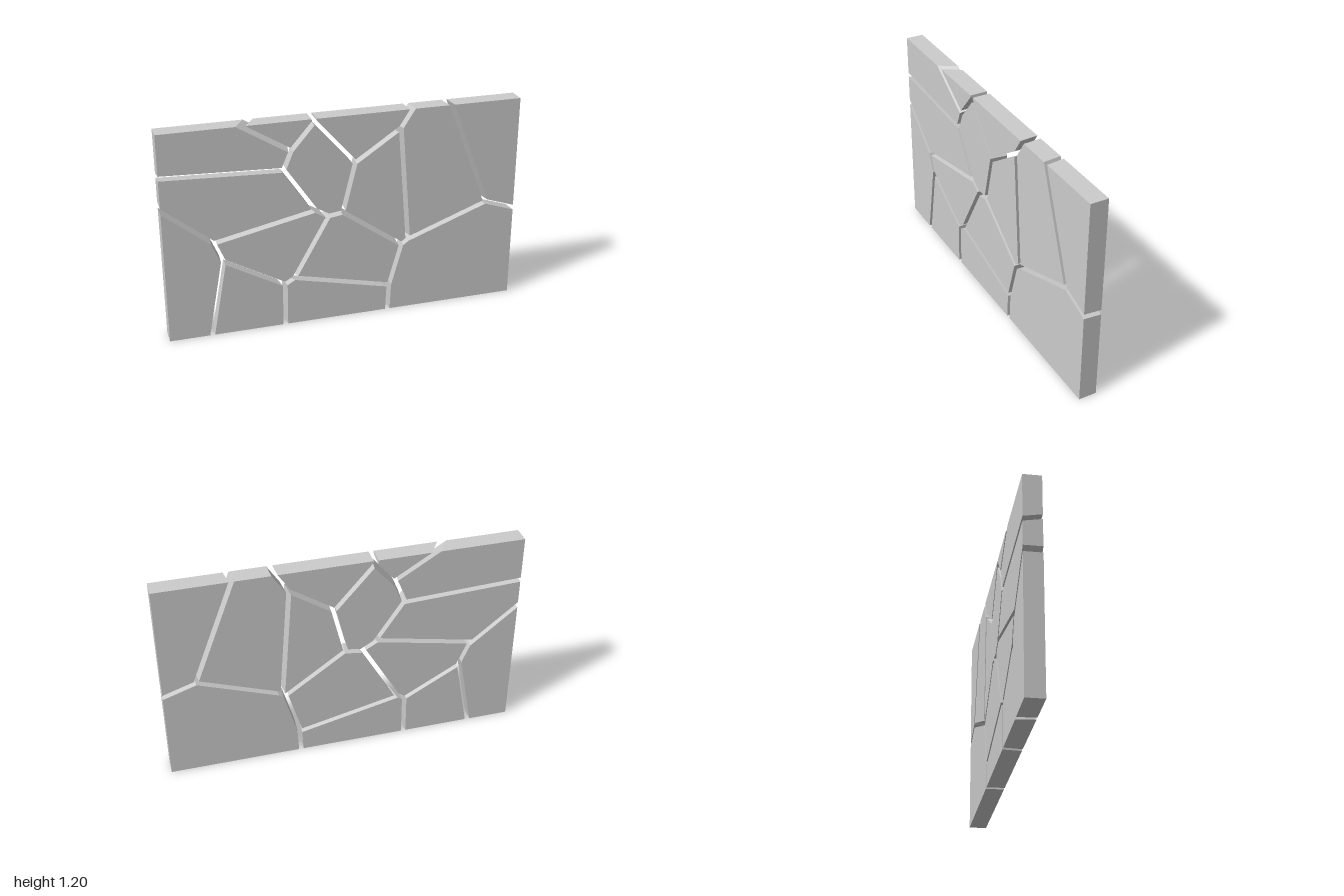
import * as THREE from 'three';
import { ConvexGeometry } from 'three/addons/geometries/ConvexGeometry.js';

const HALF_W = 1, HEIGHT = 1.195, HALF_D = 0.05, HALF_GAP = 0.0135;

// Crack junctions on the front face (t, r, b, l = points on the panel's rim)
const nodes = {
  t1: [-0.564, 1.195], t2: [-0.172, 1.195], t3: [0.374, 1.195], t4: [0.6, 1.195],
  l1: [-1, 0.957], l2: [-1, 0.773], r1: [1, 0.541],
  b1: [-0.765, 0], b2: [-0.35, 0], b3: [0.25, 0],
  apex: [-0.171, 1.18], hexRight: [0.053, 0.925], hexLow: [-0.016, 0.642],
  hexBase: [-0.096, 0.631], hexLowLeft: [-0.171, 0.674], hexLeft: [-0.342, 0.928],
  hexUpLeft: [-0.299, 1.032], west: [-0.733, 0.556], southWest: [-0.684, 0.439],
  south: [-0.348, 0.251], southMid: [-0.294, 0.283], southEast: [0.257, 0.155],
  mid: [0.326, 0.401], midEast: [0.364, 0.428], north: [0.31, 1.096], east: [0.826, 0.599],
};

// Cracks: from, to, shift of the back edge towards the left, piece on the left, piece on the right
const cuts = [
  ['t1', 'hexUpLeft', 0.032, 'topSliver', 'topLeft'],
  ['hexUpLeft', 'apex', -0.011, 'topSliver', 'hexagon'],
  ['apex', 't2', 0, 'topSliver', 'topMiddle'],
  ['apex', 'hexRight', 0, 'topMiddle', 'hexagon'],
  ['hexUpLeft', 'hexLeft', 0.011, 'hexagon', 'topLeft'],
  ['l1', 'hexLeft', -0.018, 'topLeft', 'left'],
  ['hexLeft', 'hexLowLeft', 0, 'hexagon', 'left'],
  ['hexLowLeft', 'hexBase', 0, 'hexagon', 'centreLeft'],
  ['hexBase', 'hexLow', 0, 'hexagon', 'centre'],
  ['hexRight', 'hexLow', 0.005, 'centreRight', 'hexagon'],
  ['hexRight', 'north', 0, 'topMiddle', 'centreRight'],
  ['north', 't3', 0.006, 'topMiddle', 'upperRight'],
  ['north', 'midEast', -0.015, 'upperRight', 'centreRight'],
  ['t4', 'east', -0.01, 'topRight', 'upperRight'],
  ['east', 'r1', -0.008, 'topRight', 'bottomRight'],
  ['midEast', 'east', 0, 'upperRight', 'bottomRight'],
  ['mid', 'midEast', 0, 'centreRight', 'bottomRight'],
  ['hexLow', 'mid', 0.01, 'centreRight', 'centre'],
  ['mid', 'southEast', 0.005, 'bottomRight', 'centre'],
  ['southEast', 'b3', 0.004, 'bottomRight', 'bottomMiddle'],
  ['southMid', 'southEast', -0.02, 'centre', 'bottomMiddle'],
  ['hexBase', 'southMid', -0.011, 'centre', 'centreLeft'],
  ['south', 'southMid', 0, 'centreLeft', 'bottomMiddle'],
  ['south', 'b2', -0.009, 'bottomMiddle', 'bottomMiddleLeft'],
  ['southWest', 'south', -0.01, 'centreLeft', 'bottomMiddleLeft'],
  ['southWest', 'b1', 0.008, 'bottomMiddleLeft', 'bottomLeft'],
  ['west', 'southWest', 0.005, 'centreLeft', 'bottomLeft'],
  ['west', 'hexLowLeft', 0.014, 'left', 'centreLeft'],
  ['l2', 'west', 0, 'left', 'bottomLeft'],
];

// Keep the part of a convex polygon where distance(p) >= 0
function clip(poly, distance) {
  const out = [];
  poly.forEach((p, i) => {
    const q = poly[(i + 1) % poly.length];
    const dp = distance(p), dq = distance(q);
    if (dp >= 0) out.push(p);
    if (dp * dq < 0) out.push(p.clone().lerp(q, dp / (dp - dq)));
  });
  return out;
}

// Outline of one piece on the front or back face
function outline(piece, back) {
  let poly = [[-HALF_W, 0], [HALF_W, 0], [HALF_W, HEIGHT], [-HALF_W, HEIGHT]]
    .map(([x, y]) => new THREE.Vector2(x, y));
  for (const [from, to, tilt, left, right] of cuts) {
    if (piece !== left && piece !== right) continue;
    const a = new THREE.Vector2(...nodes[from]);
    const b = new THREE.Vector2(...nodes[to]);
    const dir = b.sub(a).normalize();
    const normal = new THREE.Vector2(-dir.y, dir.x);
    const shift = back ? tilt : 0;
    const side = piece === left ? 1 : -1;
    poly = clip(poly, (p) => side * (p.clone().sub(a).dot(normal) - shift) - HALF_GAP);
  }
  return poly;
}

export function createModel() {
  const group = new THREE.Group();
  group.name = 'crackedPanel';
  const material = new THREE.MeshStandardMaterial({ color: 0xcccccc, flatShading: true });

  // Each piece is the hull of its front and back outlines
  const pieces = new Set(cuts.flatMap((cut) => [cut[3], cut[4]]));
  for (const piece of pieces) {
    const points = [
      ...outline(piece, false).map((p) => new THREE.Vector3(p.x, p.y, HALF_D)),
      ...outline(piece, true).map((p) => new THREE.Vector3(p.x, p.y, -HALF_D)),
    ];
    const mesh = new THREE.Mesh(new ConvexGeometry(points), material);
    mesh.name = `${piece}Piece`;
    group.add(mesh);
  }
  return group;
}
